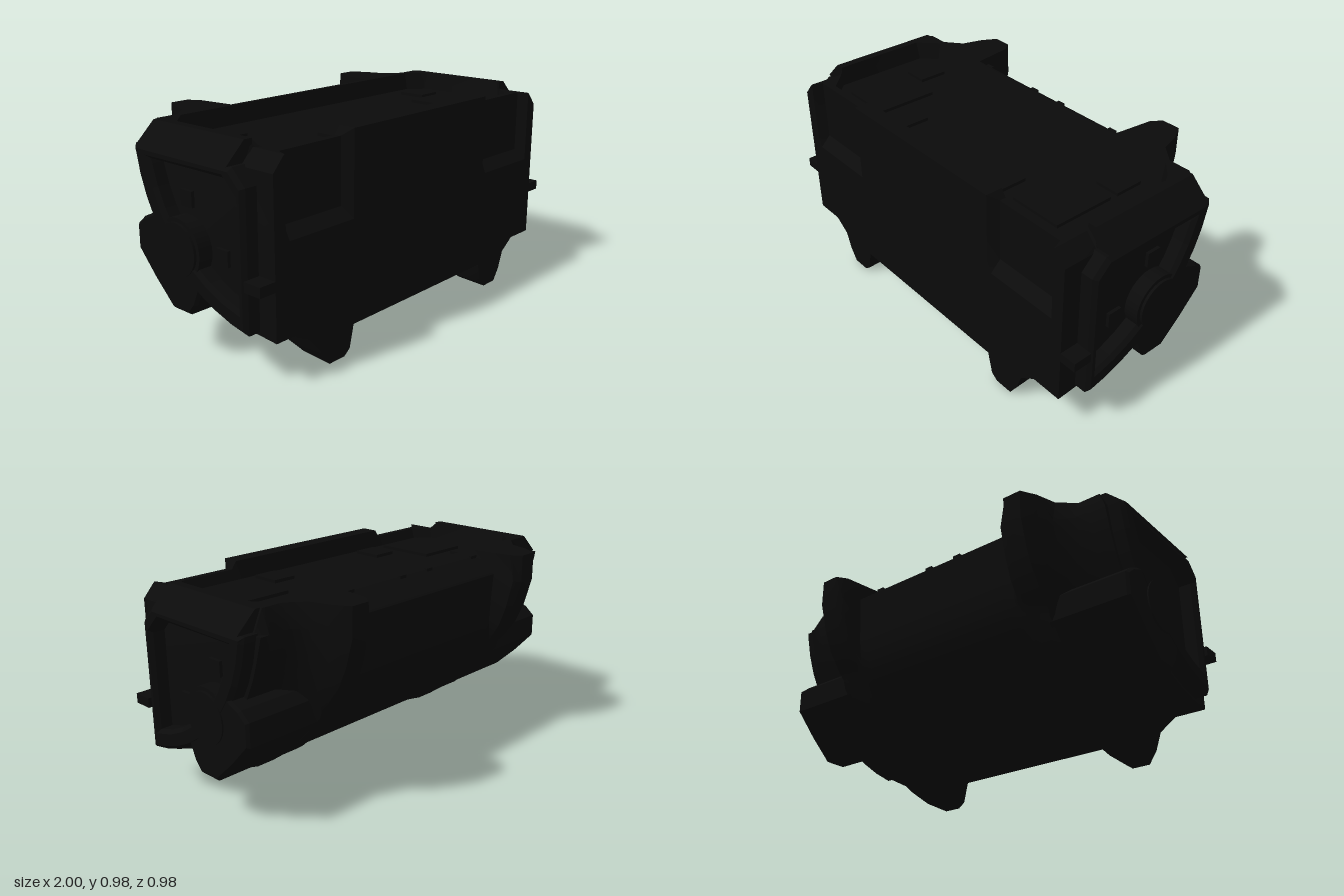
import * as THREE from 'three';
import { toCreasedNormals } from 'three/addons/utils/BufferGeometryUtils.js';

const black = new THREE.MeshStandardMaterial({ color: 0x0b0b0b });
black.name = 'matte black';

// Profiles are given as (a, b): distance behind the front face, distance below the top
const FRONT = 0.49, TOP = 0.98;

const arc = (r, from, to, n) => Array.from({ length: n + 1 }, (_, i) => {
  const t = THREE.MathUtils.degToRad(from + (to - from) * i / n);
  return [r * Math.sin(t), r * Math.cos(t)];
});
const swapped = pts => pts.map(([a, b]) => [b, a]).reverse();

// Outer curves run from the bottom front edge round to the top back edge,
// mirrored about the diagonal
const outerCurve = (half, mid, tail) => [...half, [mid, mid], ...swapped(half.slice(2)), ...tail];
const ribHalf = [[0, 0.98], [0.15, 0.972], [0.27, 0.94], [0.36, 0.9], [0.45, 0.835], [0.485, 0.8], [0.53, 0.785]];
const bodyHalf = [[0, 0.85], [0.13, 0.85], [0.24, 0.85], [0.33, 0.845], [0.43, 0.83], [0.48, 0.805], [0.53, 0.775]];
const endHalf = ribHalf.map(([a, b]) => {
  const k = 0.782 / Math.hypot(a, b);
  return [a * k, b * k];
});
const ribCurve = outerCurve(ribHalf, 0.665, [[0.98, 0.13], [0.98, 0]]);
const bodyCurve = outerCurve(bodyHalf, 0.66, [[0.86, 0.1], [0.74, 0]]);
const endCurve = outerCurve(endHalf, 0.553, [[0.785, 0.1], [0.745, 0]]);

// One closed section: outer curve, tray in the top, lowered front lip, pocket in the front
function section({ base, rib = 0, tray = 0, inset = 0, pocket = 0, drop = 0, lip = drop }) {
  const pts = base.map(([a, b], i) => [
    THREE.MathUtils.lerp(a, ribCurve[i][0], rib),
    THREE.MathUtils.lerp(b, ribCurve[i][1], rib)]);
  pts[pts.length - 1][1] += drop;
  pts.push([0.72 - inset, drop], [0.705 - inset, tray + drop], [0.095 + inset, tray + drop], [0.08 + inset, lip],
    [pocket, lip], [pocket, 0.33], [0, 0.38]);
  return pts;
}

const TRAY = 0.085, LIP = 0.035;
const stations = [
  { x: 0.42, base: bodyCurve, tray: TRAY },
  { x: 0.47, base: bodyCurve, tray: TRAY },
  { x: 0.495, base: bodyCurve, rib: 0.8, tray: TRAY, pocket: 0.05, lip: LIP },
  { x: 0.53, base: endCurve, rib: 1, tray: TRAY, pocket: 0.05, lip: LIP },
  { x: 0.62, base: endCurve, rib: 1, tray: TRAY, pocket: 0.05, lip: LIP },
  { x: 0.66, base: endCurve, rib: 0.7, tray: TRAY, pocket: 0.05, lip: LIP },
  { x: 0.69, base: endCurve, rib: 0.28, tray: TRAY, pocket: 0.05, lip: LIP },
  { x: 0.77, base: endCurve, tray: TRAY, pocket: 0.05, lip: LIP },
  { x: 0.84, base: endCurve, tray: TRAY, inset: 0.07, pocket: 0.05, lip: LIP },
  { x: 0.86, base: endCurve, inset: 0.09, lip: LIP },
  { x: 0.875, base: endCurve, inset: 0.09, lip: LIP + 0.015 },
  { x: 0.92, base: endCurve, inset: 0.09, drop: 0.1 },
];

// Loft through the sections with capped ends
function hullGeometry() {
  const all = [...stations.map(s => ({ ...s, x: -s.x })).reverse(), ...stations];
  const rings = all.map(s => section(s).map(([a, b]) => [s.x, TOP - b, FRONT - a]));
  const n = rings[0].length, pos = [];
  const tri = (...ps) => ps.forEach(p => pos.push(...p));
  for (let k = 0; k < rings.length - 1; k++) {
    for (let i = 0; i < n; i++) {
      const j = (i + 1) % n, r = rings[k], q = rings[k + 1];
      tri(r[i], r[j], q[j]);
      tri(r[i], q[j], q[i]);
    }
  }
  const last = rings[rings.length - 1], first = rings[0];
  const contour = last.map(p => new THREE.Vector2(-p[2], p[1]));
  for (const [a, b, c] of THREE.ShapeUtils.triangulateShape(contour, [])) {
    tri(last[a], last[b], last[c]);
    tri(first[a], first[c], first[b]);
  }
  const g = new THREE.BufferGeometry();
  g.setAttribute('position', new THREE.Float32BufferAttribute(pos, 3));
  return toCreasedNormals(g, 0.7);
}

const toVec = ([a, b]) => new THREE.Vector2(a - FRONT, TOP - b);

// Extrude an (a, b) outline along x, centred on x
function extrudeX(outline, x, width, bevel, hole) {
  const shape = new THREE.Shape(outline.map(toVec));
  if (hole) shape.holes.push(new THREE.Path(hole.map(toVec)));
  const g = new THREE.ExtrudeGeometry(shape, {
    depth: width - 2 * bevel, bevelSize: bevel, bevelThickness: bevel, bevelOffset: -bevel, bevelSegments: 1,
  });
  g.translate(0, 0, x - width / 2 + bevel);
  return g.rotateY(Math.PI / 2);
}

export function createModel() {
  const model = new THREE.Group();
  model.name = 'armouredContainer';

  const hull = new THREE.Mesh(hullGeometry(), black);
  hull.name = 'hull';
  model.add(hull);

  const rimOutline = [[0.09, 0.16], ...arc(0.765, 7, 81, 10), [0.76, 0.09], [0.16, 0.09]];
  const rimHole = [[0.14, 0.21], ...arc(0.675, 12, 76, 8), [0.665, 0.14], [0.21, 0.14]];
  const kneeHalf = [[0.36, 0.63], [0.4, 0.72], [0.44, 0.768], [0.55, 0.768]];
  const kneeOutline = [...kneeHalf, [0.663, 0.663], ...swapped(kneeHalf)];

  for (const side of [1, -1]) {
    const end = new THREE.Group();
    end.name = side > 0 ? 'leftEnd' : 'rightEnd';
    model.add(end);
    const add = (name, geometry, x = 0, y = 0, z = 0) => {
      const m = new THREE.Mesh(geometry, black);
      m.name = name;
      m.position.set(x * side, y, z);
      end.add(m);
    };
    const box = (name, w, h, d, x, y, z) => add(name, new THREE.BoxGeometry(w, h, d), x, y, z);

    // Rim, sloped cap above it, corner knee
    add('endRim', extrudeX(rimOutline, 0.945 * side, 0.1, 0.018, rimHole));
    const slope = new THREE.Shape([[0.86, 0.98], [0.9, 0.98], [0.995, 0.89], [0.86, 0.89]]
      .map(([x, y]) => new THREE.Vector2(x * side, y)));
    add('rimSlope', new THREE.ExtrudeGeometry(slope, { depth: 0.56, bevelEnabled: false }), 0, 0, -0.245);
    add('cornerKnee', extrudeX(kneeOutline, 0.793 * side, 0.4, 0.012));

    // Round hub
    const hub = (name, r, x0, x1) => add(name,
      new THREE.CylinderGeometry(r, r, x1 - x0, 32).rotateZ(Math.PI / 2), (x0 + x1) / 2, 0.485, -0.01);
    hub('hubCollar', 0.135, 0.9, 0.988);
    hub('hub', 0.117, 0.9, 1);

    // Small end blocks and the front fin
    box('endBlock', 0.02, 0.07, 0.07, 0.925, 0.69, -0.01);
    box('endBlock', 0.02, 0.07, 0.07, 0.925, 0.485, 0.2);
    box('frontFin', 0.12, 0.045, 0.09, 0.94, 0.435, 0.445);

    // Raised plates inside the top tray
    box('trayPlate', 0.26, 0.02, 0.3, 0.6, 0.9, 0.2);
    box('trayBlock', 0.12, 0.02, 0.14, 0.34, 0.9, 0.29);
    box('trayBlock', 0.12, 0.02, 0.14, 0.67, 0.9, -0.06);

    // Catches along the sloped back edge
    for (const x of [0.09, 0.42]) box('backCatch', 0.04, 0.03, 0.04, x, 0.95, -0.265);
  }
  return model;
}
